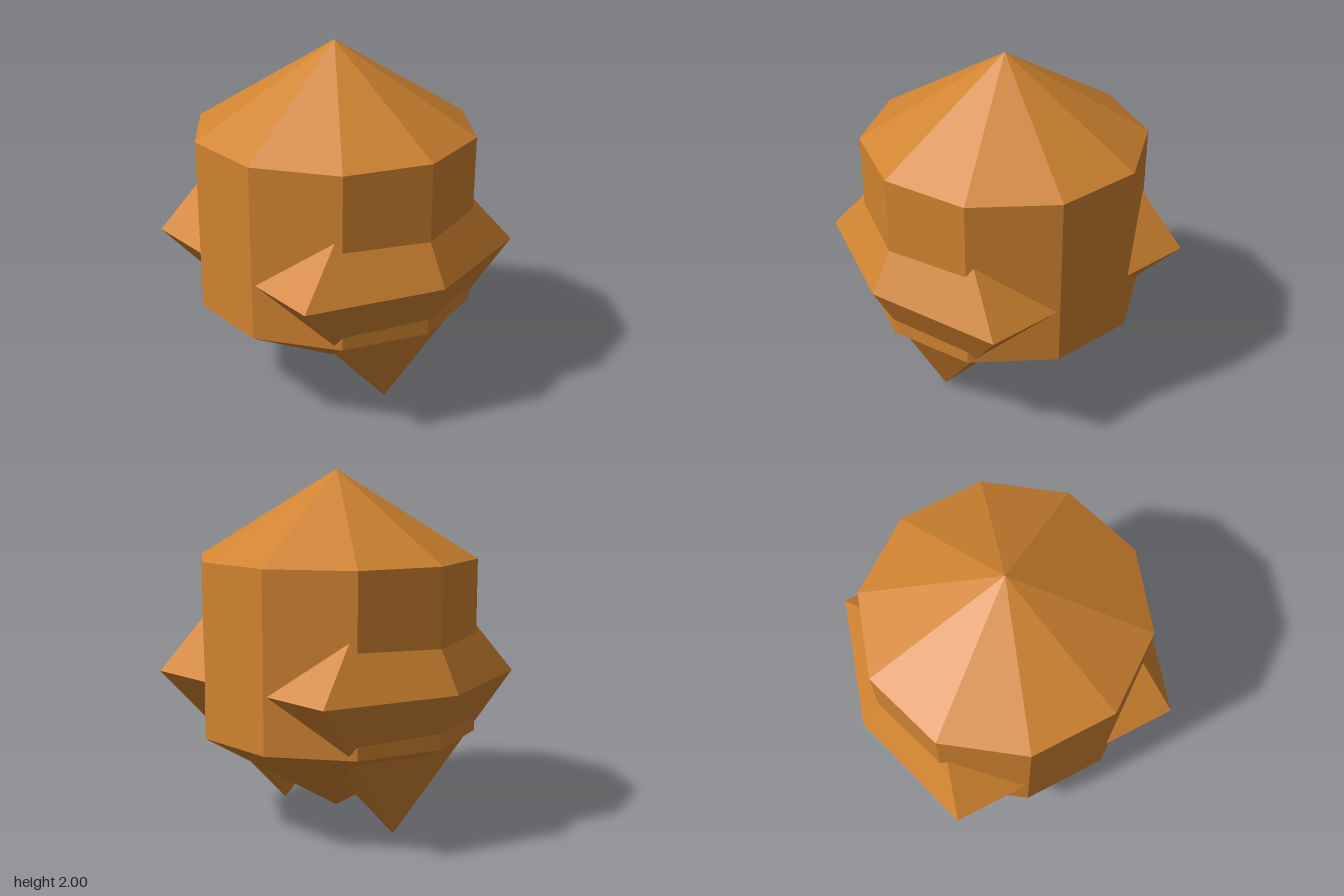
import * as THREE from 'three';

// Faceted solid turned about y, with a corner on the +x axis
function facetedSolid(name, profile, sides, material) {
  const points = profile.map(([r, y]) => new THREE.Vector2(r, y));
  const mesh = new THREE.Mesh(new THREE.LatheGeometry(points, sides, Math.PI / 2), material);
  mesh.name = name;
  return mesh;
}

export function createModel() {
  const model = new THREE.Group();
  model.name = 'facetedPod';

  const bronze = new THREE.MeshStandardMaterial({ color: 0xd08330 });
  bronze.name = 'bronze';
  bronze.flatShading = true;

  // Ten-sided body with a pointed roof and a pointed base
  const body = [[0, 0.06], [0.79, 0.545], [0.79, 1.515], [0, 2]];
  model.add(facetedSolid('body', body, 10, bronze));

  // Six-sided double cone on each side, narrowed in x, mostly sunk into the body
  const spike = [[0, 0], [0.855, 0.86], [0, 1.72]];
  for (const side of [1, -1]) {
    const mesh = facetedSolid(side > 0 ? 'leftSpike' : 'rightSpike', spike, 6, bronze);
    mesh.scale.x = 0.532;
    mesh.position.x = side * 0.455;
    model.add(mesh);
  }
  return model;
}
